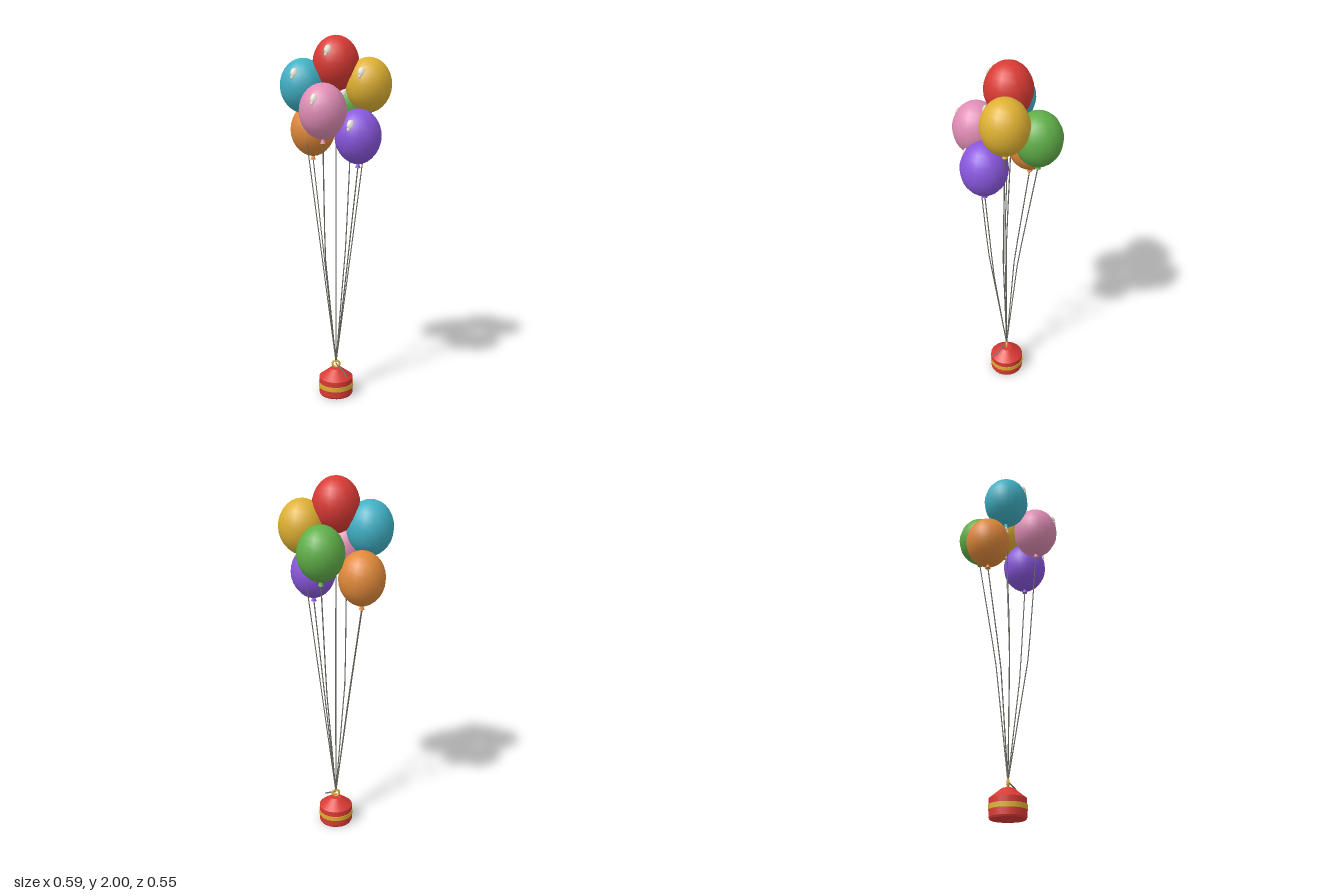
import * as THREE from 'three';

const mat = (name, color) => Object.assign(new THREE.MeshStandardMaterial({ color }), { name });

export function createModel() {
  const model = new THREE.Group();
  model.name = 'balloonBouquet';

  const M = {
    red: mat('red', 0xd93a34), teal: mat('teal', 0x40b0c4), yellow: mat('yellow', 0xdeb032),
    pink: mat('pink', 0xe08db5), green: mat('green', 0x60ae48), purple: mat('purple', 0x8a57de),
    orange: mat('orange', 0xe0893a), cream: mat('cream', 0xe8e2d2), cord: mat('cord grey', 0x6f6d66),
  };
  const add = (parent, name, geo, material, x = 0, y = 0, z = 0) => {
    const mesh = new THREE.Mesh(geo, material);
    mesh.name = name;
    mesh.position.set(x, y, z);
    parent.add(mesh);
    return mesh;
  };

  // Balloon skin: tall sphere, drawn in slightly towards the knot
  const RX = 0.123, RY = 0.144;
  const skin = new THREE.SphereGeometry(1, 16, 14);
  const p = skin.attributes.position;
  for (let i = 0; i < p.count; i++) {
    const y = p.getY(i), taper = y < 0 ? 1 - 0.06 * y * y : 1;
    p.setXYZ(i, p.getX(i) * RX * taper, y * RY, p.getZ(i) * RX * taper);
  }
  skin.computeVertexNormals();
  // Keep the lathe seam and poles smooth with ellipsoid normals
  const n = skin.attributes.normal, v = new THREE.Vector3();
  for (let i = 0; i < p.count; i++) {
    v.set(p.getX(i) / RX ** 2, p.getY(i) / RY ** 2, p.getZ(i) / RX ** 2).normalize();
    n.setXYZ(i, v.x, v.y, v.z);
  }
  const knot = new THREE.CylinderGeometry(0.006, 0.015, 0.024, 10);
  const glint = new THREE.SphereGeometry(1, 12, 8);

  // Cord as a thin tube through straight legs
  const cord = (parent, name, points, radius) => {
    const path = new THREE.CurvePath();
    for (let i = 1; i < points.length; i++) path.add(new THREE.LineCurve3(points[i - 1], points[i]));
    return add(parent, name, new THREE.TubeGeometry(path, 8, radius, 6), M.cord);
  };
  const V = (x, y, z) => new THREE.Vector3(x, y, z);

  // Colour, centre of the balloon, sideways and forward sway of its cord
  const balloons = [
    ['red', 0, 1.856, -0.01, 0, 0.015],
    ['teal', -0.173, 1.74, -0.03, 0, 0.015],
    ['yellow', 0.172, 1.745, 0.01, 0, 0.015],
    ['pink', -0.073, 1.617, 0.152, -0.025, 0.025],
    ['green', 0.09, 1.638, -0.155, 0.01, 0.02],
    ['purple', 0.11, 1.485, 0.112, 0, 0.015],
    ['orange', -0.122, 1.5, -0.125, 0, 0.02],
  ];
  for (const [color, x, y, z, swayX, swayZ] of balloons) {
    const g = new THREE.Group();
    g.name = color + 'Balloon';
    g.position.set(x, y, z);
    add(g, 'skin', skin, M[color]);
    add(g, 'knot', knot, M[color], 0, -RY - 0.008, 0);
    const shine = add(g, 'highlight', glint, M.cream, -0.046, 0.069, 0.097);
    shine.scale.set(0.018, 0.025, 0.008);
    shine.rotation.set(-0.3, 0, -0.25);
    const dot = add(g, 'smallHighlight', glint, M.cream, -0.056, 0.044, 0.102);
    dot.scale.set(0.009, 0.011, 0.006);
    model.add(g);

    const end = V(x, y - RY - 0.015, z), start = V(0, 0.185, 0);
    const mid = start.clone().lerp(end, 0.52).add(V(swayX, 0, swayZ));
    cord(model, color + 'Cord', [start, mid, end], 0.0032);
  }

  // Weight: drum with a sloping top
  const weight = new THREE.Group();
  weight.name = 'weight';
  model.add(weight);
  add(weight, 'drum', new THREE.CylinderGeometry(0.096, 0.096, 0.092, 24), M.red, 0, 0.056, 0);
  add(weight, 'foot', new THREE.CylinderGeometry(0.096, 0.091, 0.01, 24), M.red, 0, 0.005, 0);
  add(weight, 'slopingTop', new THREE.CylinderGeometry(0.032, 0.096, 0.05, 24), M.red, 0, 0.127, 0);
  add(weight, 'stripe', new THREE.CylinderGeometry(0.099, 0.099, 0.026, 24), M.yellow, 0, 0.058, 0);
  add(weight, 'ring', new THREE.TorusGeometry(0.02, 0.006, 8, 20), M.yellow, 0, 0.177, 0);

  // Loose cord end hanging over the front of the weight
  const tail = new THREE.CatmullRomCurve3([
    V(0, 0.18, 0.005), V(0.02, 0.165, 0.03), V(0.045, 0.145, 0.055), V(0.055, 0.127, 0.082),
  ]);
  add(weight, 'looseCord', new THREE.TubeGeometry(tail, 12, 0.004, 6), M.cord);

  return model;
}
